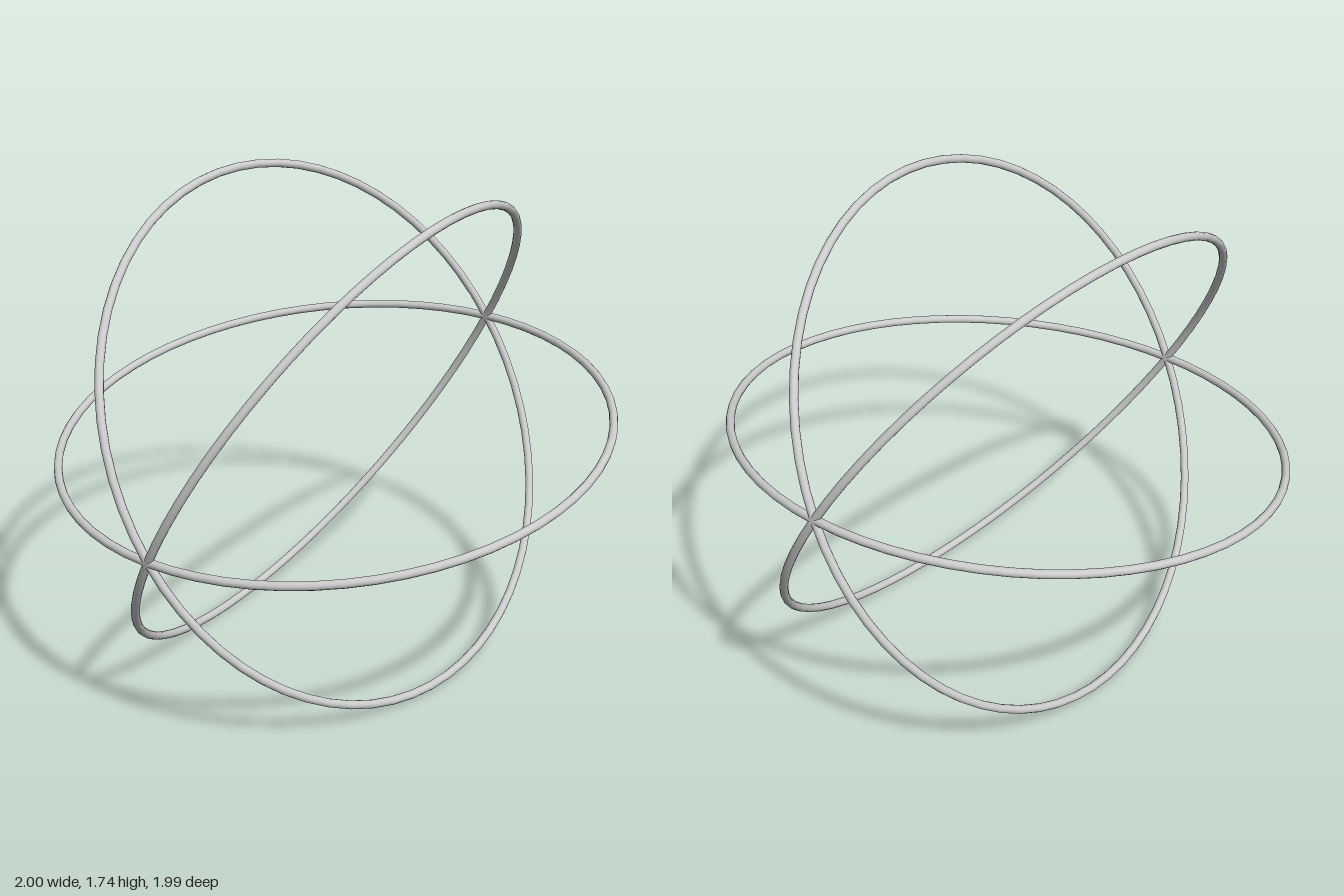
import * as THREE from 'three';

const TUBE = 0.015;
const RADIUS = 1 - TUBE;
const TILT = 0.152; // the shared axis dips toward the front

export function createModel() {
  const model = new THREE.Group();
  const material = new THREE.MeshStandardMaterial({ color: 0xcccccc });

  // one ring lying flat, reused for all three
  const ringGeometry = new THREE.TorusGeometry(RADIUS, TUBE, 12, 64);
  ringGeometry.rotateX(-Math.PI / 2);

  // rings fanned at 60 degree steps around one front-to-back axis
  const rings = new THREE.Group();
  rings.name = 'crossedRings';
  ['flatRing', 'leftRaisedRing', 'rightRaisedRing'].forEach((name, i) => {
    const ring = new THREE.Mesh(ringGeometry, material);
    ring.name = name;
    ring.rotation.z = (i * Math.PI) / 3;
    rings.add(ring);
  });

  // tilt the axis and rest the lowest points on the ground
  rings.rotation.x = TILT;
  rings.position.y = RADIUS * Math.hypot(Math.sin(TILT), Math.cos(TILT) * Math.sin(Math.PI / 3)) + TUBE;
  model.add(rings);
  return model;
}
